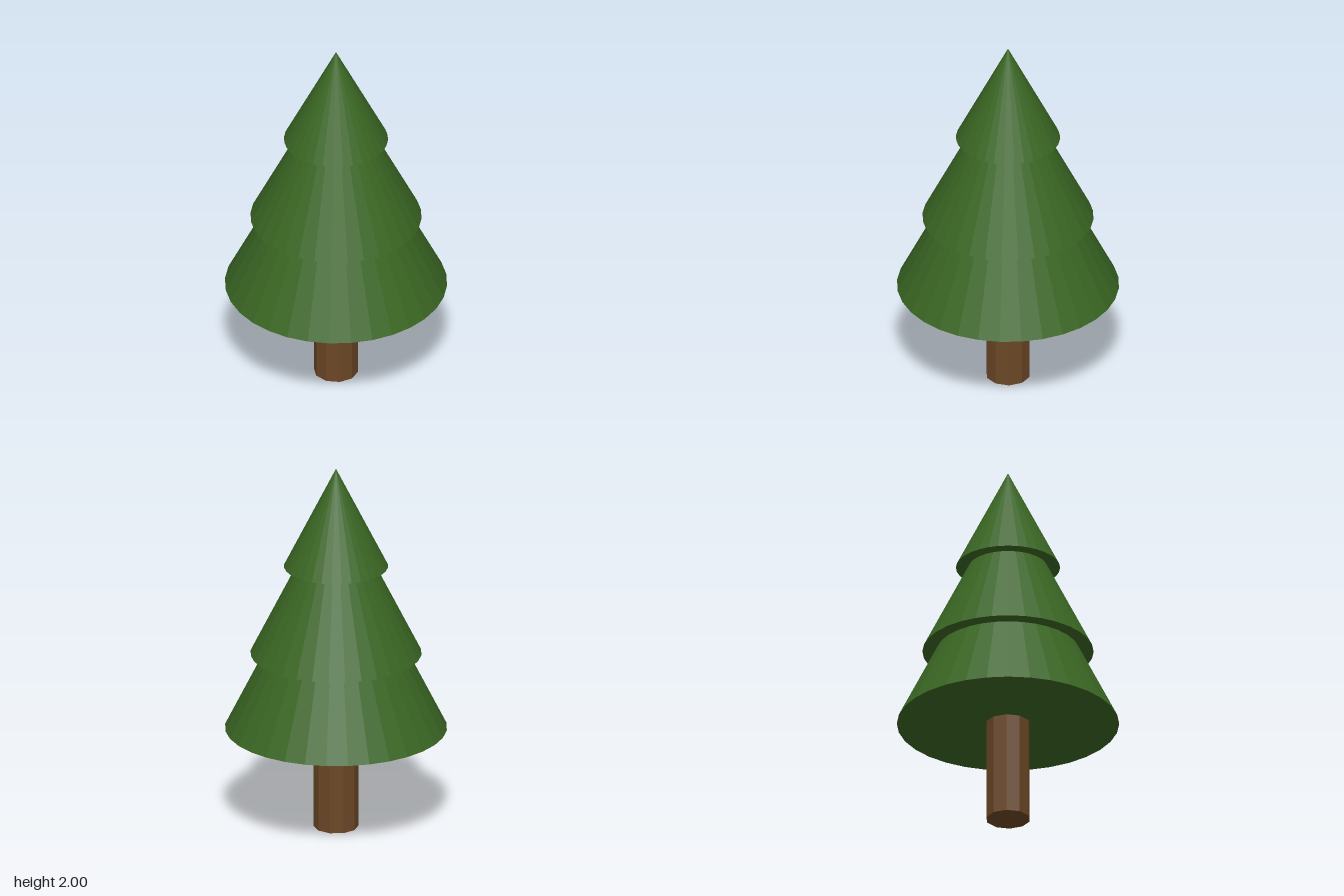
import * as THREE from 'three';

export function createModel() {
  const tree = new THREE.Group();
  tree.name = 'pineTree';

  const bark = new THREE.MeshStandardMaterial({ color: 0x6b4726, flatShading: true });
  const needles = new THREE.MeshStandardMaterial({ color: 0x3a6623, flatShading: true });

  // Adds a mesh standing on the given height
  const addPart = (name, geometry, material, height, baseY) => {
    const mesh = new THREE.Mesh(geometry, material);
    mesh.name = name;
    mesh.position.y = baseY + height / 2;
    tree.add(mesh);
  };

  // Ten-sided trunk
  const trunkHeight = 0.58;
  addPart('trunk', new THREE.CylinderGeometry(0.117, 0.117, trunkHeight, 10), bark, trunkHeight, 0);

  // Three overlapping foliage cones, each twice as tall as its base radius
  const tiers = [
    ['lowerFoliage', 0.583, 0.553],
    ['middleFoliage', 0.449, 0.97],
    ['upperFoliage', 0.273, 1.455],
  ];
  for (const [name, radius, baseY] of tiers) {
    const height = name === 'upperFoliage' ? 2 - baseY : radius * 2;
    addPart(name, new THREE.ConeGeometry(radius, height, 32), needles, height, baseY);
  }

  return tree;
}
